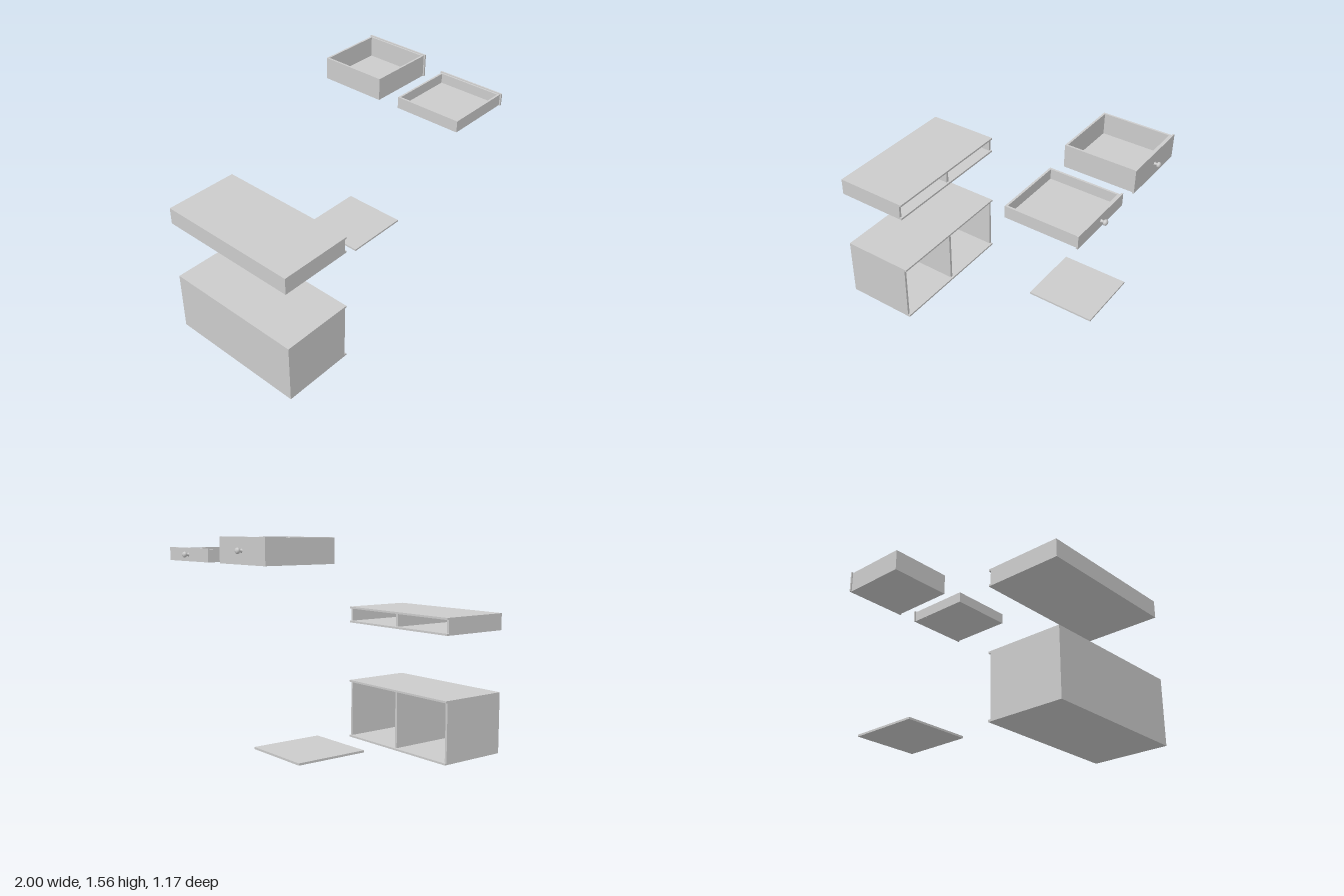
import * as THREE from 'three';

const material = new THREE.MeshStandardMaterial({ color: 0xcccccc });

// Box given by its lower and upper limits on each axis
function panel(parent, name, [x0, x1], [y0, y1], [z0, z1]) {
  const mesh = new THREE.Mesh(new THREE.BoxGeometry(x1 - x0, y1 - y0, z1 - z0), material);
  mesh.name = name;
  mesh.position.set((x0 + x1) / 2, (y0 + y1) / 2, (z0 + z1) / 2);
  parent.add(mesh);
}

// Open-fronted carcass with two bays; the front faces +x
function cabinet(name, y0, y1) {
  const g = new THREE.Group();
  g.name = name;
  const t = 0.014, s = 0.018, z0 = -0.587, z1 = 0.457, mid = (z0 + z1) / 2;
  const full = [-1, -0.465], inset = [-1, -0.481], inner = [y0 + t, y1 - t];
  panel(g, 'bottomPanel', full, [y0, y0 + t], [z0, z1]);
  panel(g, 'topPanel', full, [y1 - t, y1], [z0, z1]);
  panel(g, 'rightSide', inset, inner, [z0, z0 + s]);
  panel(g, 'leftSide', inset, inner, [z1 - s, z1]);
  panel(g, 'divider', inset, inner, [mid - 0.01, mid + 0.01]);
  panel(g, 'backPanel', [-1, -0.988], inner, [z0 + s, z1 - s]);
  return g;
}

// Open-topped tray with a slightly larger front plate and a turned knob
function drawer(name, zc, height) {
  const g = new THREE.Group();
  g.name = name;
  const y0 = 1.394, y1 = y0 + height, top = y1 - 0.005, t = 0.014;
  const x0 = 0.459, x1 = 0.946, z0 = zc - 0.243, z1 = zc + 0.243;
  panel(g, 'floor', [x0 + t, x1 - t], [y0, y0 + 0.012], [z0 + t, z1 - t]);
  panel(g, 'rightWall', [x0, x1], [y0, top], [z0, z0 + t]);
  panel(g, 'leftWall', [x0, x1], [y0, top], [z1 - t, z1]);
  panel(g, 'backWall', [x0, x0 + t], [y0, top], [z0 + t, z1 - t]);
  panel(g, 'innerFront', [x1 - t, x1], [y0, top], [z0 + t, z1 - t]);
  panel(g, 'frontPlate', [x1, 0.958], [y0, y1], [zc - 0.253, zc + 0.253]);

  const profile = [[0.012, 0], [0.009, 0.004], [0.008, 0.016], [0.016, 0.02],
    [0.019, 0.026], [0.018, 0.034], [0.012, 0.04], [0, 0.042]];
  const knob = new THREE.Mesh(
    new THREE.LatheGeometry(profile.map(([r, h]) => new THREE.Vector2(r, h)), 24), material);
  knob.name = 'knob';
  knob.rotation.z = -Math.PI / 2;
  knob.position.set(0.958, (y0 + y1) / 2, zc);
  g.add(knob);
  return g;
}

export function createModel() {
  const model = new THREE.Group();
  model.name = 'explodedSideboard';
  model.add(
    cabinet('lowerCabinet', 0, 0.446),
    cabinet('upperCabinet', 0.891, 1.012),
    drawer('shallowDrawer', 0.334, 0.086),
    drawer('deepDrawer', -0.316, 0.163),
  );
  // Loose shelf for the right-hand bay
  panel(model, 'shelf', [0.235, 0.737], [0.203, 0.217], [-0.569, -0.076]);
  return model;
}
